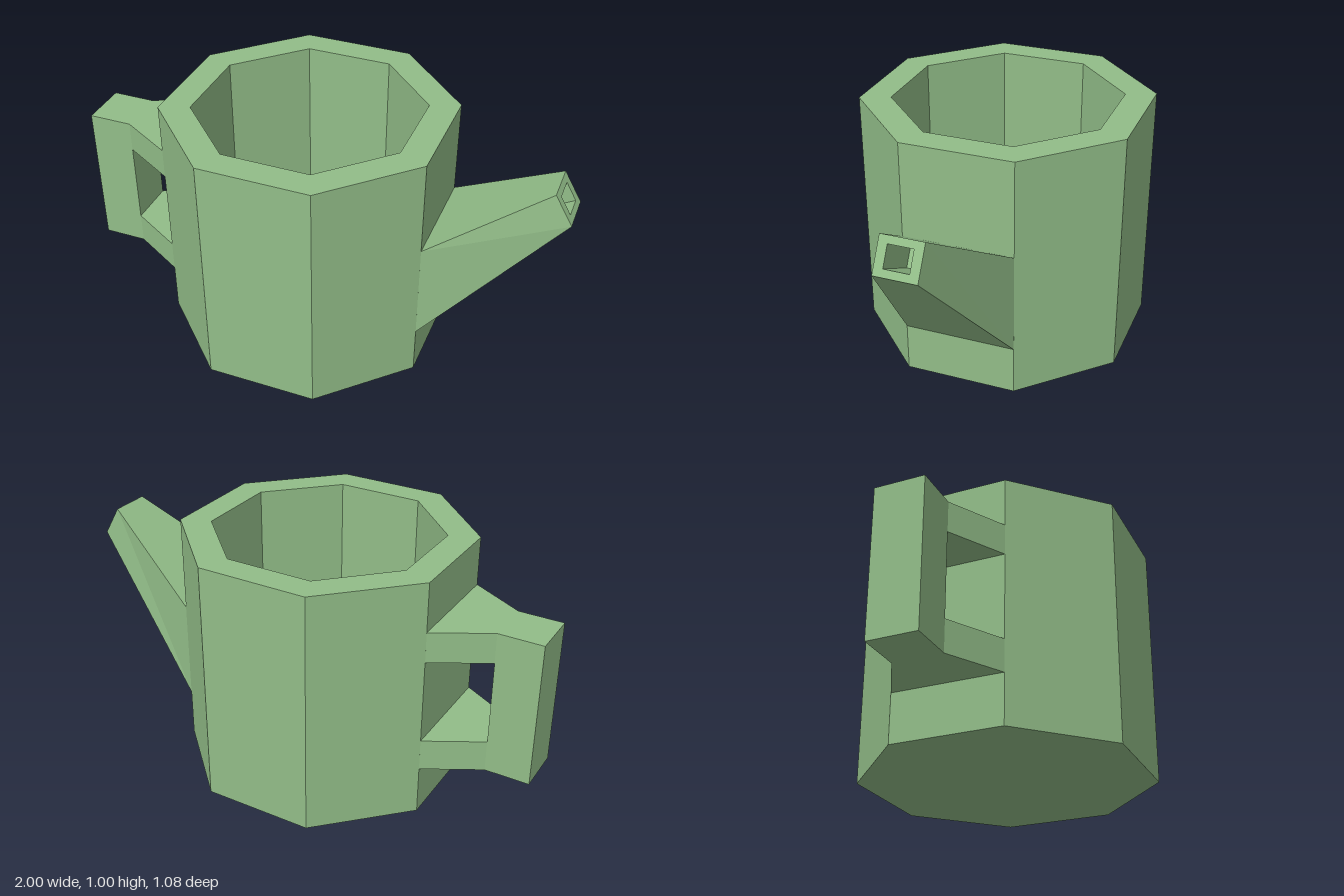
import * as THREE from 'three';

const BODY_X = -0.06; // body axis sits slightly behind the centre

// Rectangle across z, from a low (x, y) edge to a high (x, y) edge
function ring(xLow, yLow, xHigh, yHigh, halfZ) {
  return [
    [xLow, yLow, halfZ], [xLow, yLow, -halfZ],
    [xHigh, yHigh, -halfZ], [xHigh, yHigh, halfZ],
  ];
}

// Joins successive rectangles with flat quads, optionally closing the last one
function loft(rings, capEnd = false) {
  const pos = [];
  const quad = (a, b, c, d) => pos.push(...a, ...b, ...c, ...a, ...c, ...d);
  for (let i = 0; i < rings.length - 1; i++) {
    const A = rings[i], B = rings[i + 1];
    for (let k = 0; k < 4; k++) {
      const n = (k + 1) % 4;
      quad(A[k], A[n], B[n], B[k]);
    }
  }
  if (capEnd) quad(...rings[rings.length - 1]);
  const geo = new THREE.BufferGeometry();
  geo.setAttribute('position', new THREE.Float32BufferAttribute(pos, 3));
  geo.computeVertexNormals();
  return geo;
}

export function createModel() {
  const model = new THREE.Group();
  model.name = 'wateringCan';
  const green = new THREE.MeshStandardMaterial({ color: 0x92bd88 });
  green.name = 'sage green';

  const add = (name, geometry, parent = model) => {
    const mesh = new THREE.Mesh(geometry, green);
    mesh.name = name;
    parent.add(mesh);
    return mesh;
  };

  // Octagonal hollow body: outside wall, rim, inside wall and floor
  const toCorner = 1 / Math.cos(Math.PI / 8);
  const outer = 0.541 * toCorner, inner = 0.426 * toCorner, floor = 0.11;
  const profile = [[0, 0], [outer, 0], [outer, 1], [inner, 1], [inner, floor], [0, floor]]
    .map(([r, y]) => new THREE.Vector2(r, y));
  const bodyGeo = new THREE.LatheGeometry(profile, 8, Math.PI / 8).toNonIndexed();
  bodyGeo.computeVertexNormals();
  add('body', bodyGeo).position.x = BODY_X;

  // Tapering spout with a recessed opening at its tilted tip
  const bore = 0.2, dx = -0.87 * bore, dy = -0.49 * bore;
  add('spout', loft([
    ring(0.481, 0.2, 0.481, 0.61, 0.224),
    ring(1.0, 0.775, 0.928, 0.897, 0.083),
    ring(0.985, 0.8, 0.943, 0.872, 0.048),
    ring(0.985 + dx, 0.8 + dy, 0.943 + dx, 0.872 + dy, 0.048),
  ], true));

  // Handle: upright grip with two arms flaring to the body's face
  const handle = new THREE.Group();
  handle.name = 'handle';
  model.add(handle);
  add('grip', new THREE.BoxGeometry(0.18, 0.6, 0.2), handle).position.set(-0.91, 0.5, 0);
  for (const [name, low, high] of [['upperArm', 0.675, 0.8], ['lowerArm', 0.2, 0.33]]) {
    add(name, loft([
      ring(-0.82, low, -0.82, high, 0.1),
      ring(-0.601, low, -0.601, high, 0.224),
    ]), handle);
  }
  return model;
}
